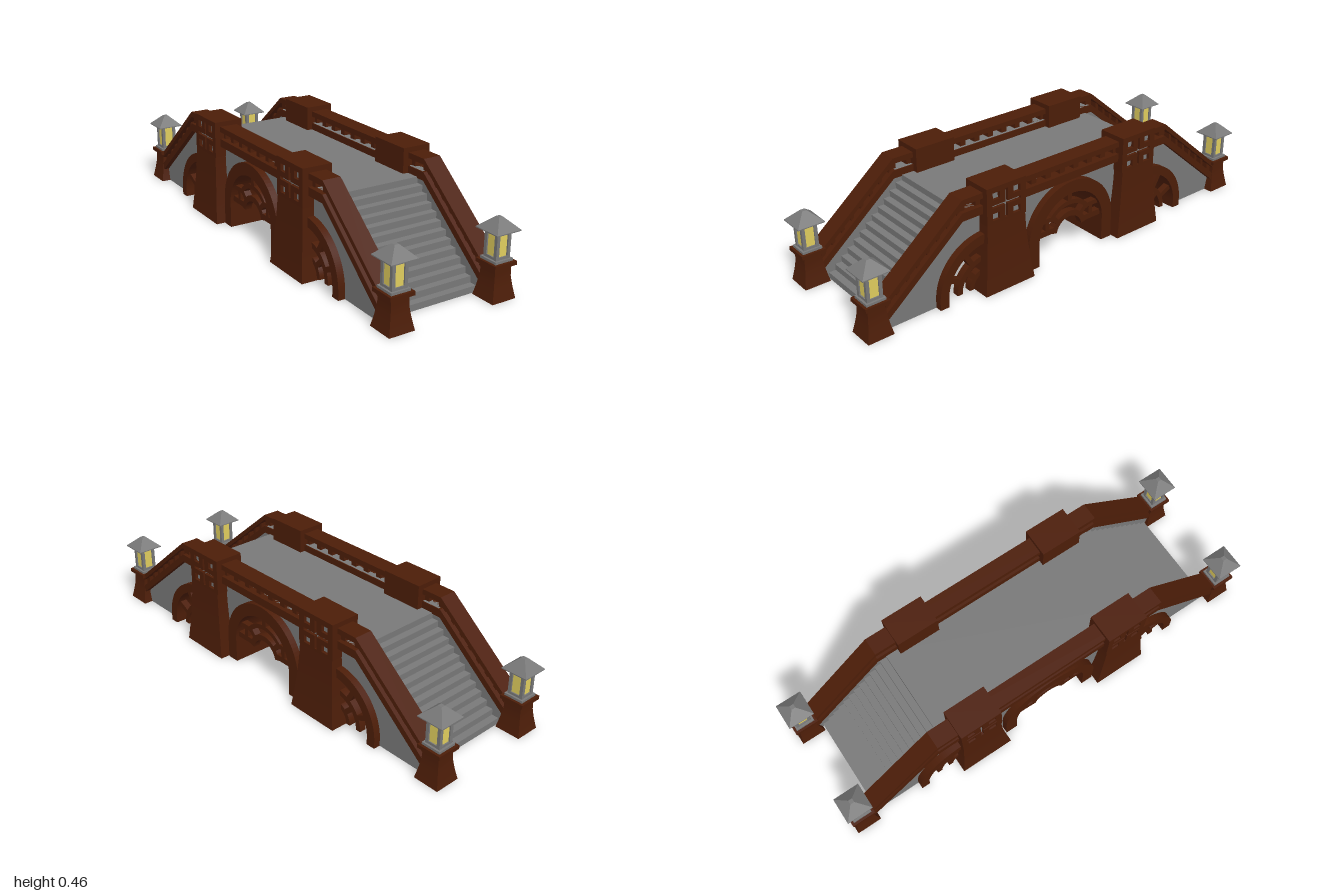
import * as THREE from 'three';

export function createModel() {
  const model = new THREE.Group();
  const mat = (name, color) => {
    const m = new THREE.MeshStandardMaterial({ color });
    m.name = name;
    return m;
  };
  const wood = mat('brown wood', 0x4c1d08);
  const stone = mat('grey stone', 0x787878);
  const glow = mat('yellow lamp glass', 0xe0cd5e);

  const add = (name, geo, material, parent = model) => {
    const mesh = new THREE.Mesh(geo, material);
    mesh.name = name;
    parent.add(mesh);
  };
  const box = (name, material, w, h, d, x, y, z, parent) =>
    add(name, new THREE.BoxGeometry(w, h, d).translate(x, y, z), material, parent);

  // Side profile (drawn in z,y) extruded across x around a centre
  const profile = (name, shape, width, x, material) => {
    const geo = new THREE.ExtrudeGeometry(shape, { depth: width, bevelEnabled: false, curveSegments: 20 });
    geo.translate(0, 0, -width / 2).rotateY(-Math.PI / 2).translate(x, 0, 0);
    add(name, geo, material);
  };
  const poly = (pts) => new THREE.Shape(pts.map(([z, y]) => new THREE.Vector2(z, y)));
  const rect = (z, y, w, h) =>
    poly([[z - w / 2, y - h / 2], [z + w / 2, y - h / 2], [z + w / 2, y + h / 2], [z - w / 2, y + h / 2]]);
  // Arc band between two radii
  const band = (cz, cy, r0, r1, a0, a1) => {
    const s = new THREE.Shape();
    s.absarc(cz, cy, r1, a0, a1, false);
    s.absarc(cz, cy, r0, a1, a0, true);
    return s;
  };
  const PI = Math.PI;
  const SIDES = [-1, 1];

  // Deck and stairs
  box('deck', stone, 0.42, 0.025, 1.0, 0, 0.3375, 0);
  const steps = 13, rise = 0.35 / steps, run = 0.4 / steps;
  for (const e of SIDES) for (let i = 0; i < steps; i++) {
    const top = 0.35 - rise * i;
    const h = Math.min(top, rise * 1.25);
    box('step', stone, 0.42, h, run * 1.3, 0, top - h / 2, e * (0.48 + run * (i + 0.35)));
  }

  // Side walls with arch cut-outs
  const wall = new THREE.Shape();
  wall.moveTo(0.9, 0).lineTo(0.9, 0.08).lineTo(0.54, 0.38).lineTo(-0.54, 0.38).lineTo(-0.9, 0.08).lineTo(-0.9, 0);
  wall.lineTo(-0.655, 0);
  wall.absarc(-0.44, 0.03, 0.215, PI, PI / 2, true);
  wall.lineTo(-0.44, 0).lineTo(-0.2, 0);
  wall.absarc(0, 0.11, 0.2, PI, 0, true);
  wall.lineTo(0.2, 0).lineTo(0.44, 0);
  wall.absarc(0.44, 0.03, 0.215, PI / 2, 0, true);
  wall.lineTo(0.655, 0);

  // Railing: two full-width rails with a thinner pierced panel between
  const h = (z) => 0.435 - 0.83 * Math.max(0, Math.abs(z) - 0.55);
  const knots = [-0.905, -0.55, 0.55, 0.905];
  const strip = (low, high) => poly([
    ...knots.map((z) => [z, h(z) - low]),
    ...[...knots].reverse().map((z) => [z, h(z) - high]),
  ]);
  const panel = strip(0.065, 0.015);
  const windows = [-3, -2, -1, 0, 1, 2, 3].map((k) => [k * 0.075, 0.024]);
  for (const e of SIDES) {
    windows.push([e * 0.502, 0.026]);
    for (let i = 0; i < 7; i++) windows.push([e * (0.58 + i * 0.047), 0.016]);
  }
  for (const [z, w] of windows) {
    const a = z - w, b = z + w;
    panel.holes.push(poly([[a, h(a) - 0.057], [a, h(a) - 0.022], [b, h(b) - 0.022], [b, h(b) - 0.057]]));
  }
  for (const s of SIDES) {
    profile('sideWall', wall, 0.05, s * 0.225, stone);
    profile('topRail', strip(0.024, 0), 0.08, s * 0.235, wood);
    profile('bottomRail', strip(0.09, 0.055), 0.08, s * 0.235, wood);
    profile('balusterPanel', panel, 0.045, s * 0.235, wood);
  }

  // Arch rings run right through as vaults
  profile('centreVault', band(0, 0.11, 0.175, 0.23, 0, PI), 0.56, 0, wood);
  for (const e of SIDES) {
    const a0 = e > 0 ? 0 : PI / 2;
    box('centreVaultLeg', wood, 0.56, 0.11, 0.055, 0, 0.055, e * 0.2025);
    profile('sideVault', band(e * 0.44, 0.03, 0.19, 0.23, a0, a0 + PI / 2), 0.56, 0, wood);
    box('sideVaultLeg', wood, 0.56, 0.03, 0.04, 0, 0.015, e * 0.65);
  }

  // Open lattice: concentric arcs joined by radial bars
  const spoke = (x, cz, cy, r0, r1, angle) => {
    const geo = new THREE.BoxGeometry(0.03, 0.022, r1 - r0);
    geo.translate(0, 0, (r0 + r1) / 2).rotateX(-angle).translate(x, cy, cz);
    add('latticeBar', geo, wood);
  };
  for (const s of SIDES) {
    const x = s * 0.25;
    profile('latticeArc', band(0, 0.1, 0.07, 0.095, 0.2, PI - 0.2), 0.03, x, wood);
    profile('latticeArc', band(0, 0.11, 0.115, 0.135, 0.6, PI - 0.6), 0.03, x, wood);
    spoke(x, 0, 0.11, 0.125, 0.185, PI / 2);
    for (const a of [PI / 4, 3 * PI / 4]) spoke(x, 0, 0.1, 0.085, 0.13, a);
    for (const e of SIDES) {
      box('latticeSill', wood, 0.03, 0.025, 0.11, x, 0.133, e * 0.125);
      box('latticeSill', wood, 0.03, 0.02, 0.07, x, 0.19, e * 0.13);
      box('latticePost', wood, 0.03, 0.07, 0.02, x, 0.165, e * 0.12);
      const a0 = e > 0 ? 0 : PI / 2;
      for (const [r0, r1] of [[0.06, 0.08], [0.115, 0.138]])
        profile('latticeArc', band(e * 0.44, 0.02, r0, r1, a0, a0 + PI / 2), 0.03, x, wood);
      for (const a of [0.45, 1.05]) spoke(x, e * 0.44, 0.02, 0.125, 0.2, e > 0 ? a : PI - a);
      spoke(x, e * 0.44, 0.02, 0.07, 0.125, e > 0 ? 0.75 : PI - 0.75);
    }
  }

  // Separate flared piers, with caps pierced by a cross and four squares
  for (const e of SIDES) {
    const cz = e * 0.359, cy = 0.373;
    const front = rect(cz, 0.377, 0.19, 0.158);
    const a = 0.006, w = 0.07, t = 0.062;
    front.holes.push(poly([
      [-w, -a], [-a, -a], [-a, -t], [a, -t], [a, -a], [w, -a],
      [w, a], [a, a], [a, t], [-a, t], [-a, a], [-w, a],
    ].map(([u, v]) => [cz + u, cy + v])));
    for (const u of SIDES) for (const v of SIDES)
      front.holes.push(rect(cz + u * 0.05, cy + v * 0.044, 0.034, 0.03));
    for (const s of SIDES) {
      const geo = new THREE.BoxGeometry(0.13, 0.3, 0.185, 1, 5, 1).translate(s * 0.235, 0.15, e * 0.3605);
      const p = geo.attributes.position;
      for (let i = 0; i < p.count; i++) {
        const f = Math.max(0, 1 - p.getY(i) / 0.3) ** 1.5;
        if (Math.abs(p.getX(i)) > 0.25) p.setX(i, p.getX(i) + s * 0.02 * f);
        const outer = Math.abs(p.getZ(i)) > 0.36;
        p.setZ(i, p.getZ(i) + e * f * (outer ? 0.027 : -0.033));
      }
      geo.computeVertexNormals();
      add('pier', geo, wood);
      box('pillarCap', wood, 0.115, 0.158, 0.19, s * 0.2275, 0.377, cz);
      box('capRecess', stone, 0.003, 0.135, 0.16, s * 0.2855, cy, cz);
      profile('capFront', front, 0.015, s * 0.2925, wood);
    }
  }

  // Lantern posts at the four corners
  const lanternPost = (x, z) => {
    const g = new THREE.Group();
    g.name = 'lanternPost';
    g.position.set(x, 0, z);
    model.add(g);
    const post = new THREE.BoxGeometry(1, 0.136, 1, 1, 6, 1).translate(0, 0.068, 0);
    const p = post.attributes.position;
    for (let i = 0; i < p.count; i++) {
      const w = 0.078 + 0.034 * Math.max(0, 1 - p.getY(i) / 0.1) ** 1.3;
      p.setX(i, p.getX(i) * w);
      p.setZ(i, p.getZ(i) * w);
    }
    post.computeVertexNormals();
    add('post', post, wood, g);
    box('postCap', wood, 0.106, 0.016, 0.106, 0, 0.143, 0, g);
    box('lanternBase', stone, 0.084, 0.01, 0.084, 0, 0.156, 0, g);
    box('lanternGlass', glow, 0.056, 0.106, 0.056, 0, 0.214, 0, g);
    box('lanternSill', stone, 0.066, 0.01, 0.066, 0, 0.166, 0, g);
    box('lanternHead', stone, 0.066, 0.008, 0.066, 0, 0.267, 0, g);
    for (const u of SIDES) for (const v of SIDES)
      box('lanternCorner', stone, 0.014, 0.11, 0.014, u * 0.027, 0.215, v * 0.027, g);
    box('eave', stone, 0.116, 0.004, 0.116, 0, 0.272, 0, g);
    const k = Math.SQRT2;
    const roof = new THREE.CylinderGeometry(0.009 * k, 0.058 * k, 0.046, 4).rotateY(PI / 4).translate(0, 0.297, 0);
    const flat = roof.toNonIndexed();
    flat.computeVertexNormals();
    add('roof', flat, stone, g);
  };
  for (const s of SIDES) for (const e of SIDES) lanternPost(s * 0.235, e * 0.942);

  return model;
}
